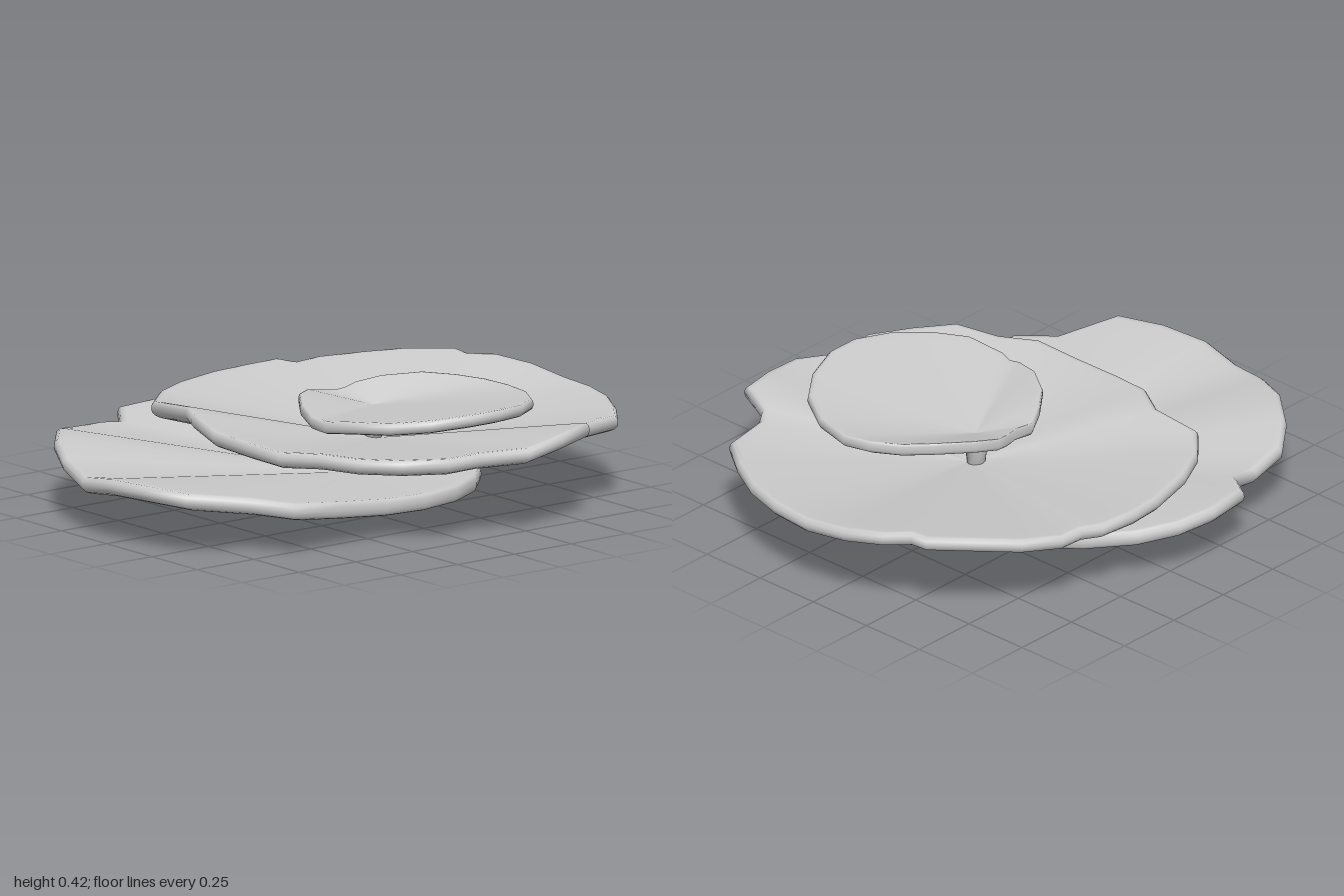
import * as THREE from 'three';

const material = new THREE.MeshStandardMaterial({ color: 0xcccccc, side: THREE.DoubleSide });

// Rim points are [x, z, top height], running back, left, front, right.
const lowerRim = [
  [0.05, -0.43, 0.135], [0.2, -0.43, 0.135], [0.33, -0.39, 0.135], [0.44, -0.28, 0.135],
  [0.52, -0.13, 0.135], [0.55, 0.03, 0.135], [0.55, 0.2, 0.14], [0.55, 0.41, 0.16],
  [0.57, 0.63, 0.19], [0.44, 0.72, 0.2], [0.35, 0.93, 0.23], [0.18, 0.98, 0.235],
  [0, 1, 0.23], [-0.16, 0.98, 0.205], [-0.33, 0.93, 0.235], [-0.48, 0.85, 0.265],
  [-0.62, 0.73, 0.26], [-0.71, 0.61, 0.23], [-0.74, 0.45, 0.22], [-0.72, 0.37, 0.215],
  [-0.83, 0.29, 0.235], [-0.85, 0.12, 0.235], [-0.82, -0.02, 0.225], [-0.74, -0.15, 0.21],
  [-0.6, -0.27, 0.19], [-0.42, -0.36, 0.165], [-0.22, -0.41, 0.145], [-0.08, -0.43, 0.135],
];
const middleRim = [
  [0.04, -1, 0.31], [0.2, -0.985, 0.31], [0.35, -0.94, 0.31], [0.49, -0.86, 0.31],
  [0.61, -0.77, 0.31], [0.64, -0.59, 0.31], [0.68, -0.53, 0.32], [0.79, -0.5, 0.355],
  [0.83, -0.35, 0.34], [0.85, -0.19, 0.32], [0.77, -0.03, 0.31], [0.79, 0.12, 0.315],
  [0.71, 0.26, 0.315], [0.61, 0.38, 0.32], [0.45, 0.42, 0.315], [0.33, 0.5, 0.31],
  [0.15, 0.495, 0.31], [-0.05, 0.49, 0.315], [-0.22, 0.45, 0.34], [-0.34, 0.38, 0.335],
  [-0.53, 0.38, 0.32], [-0.64, 0.26, 0.32], [-0.71, 0.12, 0.32], [-0.76, -0.07, 0.32],
  [-0.77, -0.2, 0.32], [-0.76, -0.35, 0.325], [-0.71, -0.4, 0.315], [-0.71, -0.5, 0.32],
  [-0.64, -0.63, 0.33], [-0.54, -0.75, 0.345], [-0.41, -0.87, 0.35], [-0.34, -0.87, 0.345],
  [-0.27, -0.94, 0.345], [-0.13, -0.99, 0.33],
];
const upperRim = [
  [0.26, -0.57, 0.385], [0.4, -0.54, 0.39], [0.53, -0.46, 0.4], [0.62, -0.34, 0.41],
  [0.67, -0.2, 0.42], [0.67, -0.08, 0.42], [0.62, 0.06, 0.41], [0.53, 0.17, 0.4],
  [0.42, 0.24, 0.395], [0.28, 0.26, 0.375], [0.23, 0.245, 0.37], [0.19, 0.25, 0.375],
  [0.08, 0.21, 0.395], [-0.03, 0.13, 0.4], [-0.1, 0.04, 0.39], [-0.14, -0.04, 0.37],
  [-0.12, -0.1, 0.365], [-0.13, -0.15, 0.365], [-0.14, -0.21, 0.375], [-0.11, -0.3, 0.39],
  [-0.03, -0.42, 0.4], [0.06, -0.5, 0.395], [0.16, -0.55, 0.39],
];

// Lofts rings from the sunken centre, over the rounded rim, back under to a stalk.
function makePlate(name, { rim, centre: [cx, cz], top, under, thickness, stalk }) {
  const position = [], index = [], n = rim.length;
  const addRing = (pointAt) => rim.forEach((p) => position.push(...pointAt(p)));
  const spoke = (t, heightAt) =>
    addRing(([x, z, y]) => [cx + (x - cx) * t, heightAt(y), cz + (z - cz) * t]);

  // Upper surface
  for (const t of [0, 0.2, 0.45, 0.7, 0.9, 0.965]) {
    spoke(t, (y) => top + (y - top) * t);
  }
  // Rounded rim: fraction of reach, fraction of thickness
  for (const [t, d] of [[0.985, 0.06], [0.997, 0.25], [1, 0.5], [0.997, 0.75], [0.985, 0.94]]) {
    spoke(t, (y) => y - thickness * d);
  }
  // Underside
  for (const t of [0.96, 0.8, 0.6, 0.4, 0.27]) {
    spoke(t, (y) => under + (y - thickness - under) * (t - 0.25) / 0.75);
  }
  // Stalk and its closed foot
  for (const [r, y] of stalk) {
    addRing(([x, z]) => {
      const a = Math.atan2(z - cz, x - cx);
      return [cx + r * Math.cos(a), y, cz + r * Math.sin(a)];
    });
  }

  for (let row = 0; row < position.length / 3 / n - 1; row++) {
    for (let i = 0; i < n; i++) {
      const j = (i + 1) % n, a = row * n, b = a + n;
      index.push(a + i, b + j, b + i, a + i, a + j, b + j);
    }
  }
  const geometry = new THREE.BufferGeometry();
  geometry.setAttribute('position', new THREE.Float32BufferAttribute(position, 3));
  geometry.setIndex(index);
  geometry.computeVertexNormals();
  const mesh = new THREE.Mesh(geometry, material);
  mesh.name = name;
  return mesh;
}

export function createModel() {
  const group = new THREE.Group();
  group.name = 'tieredPlates';
  group.add(
    makePlate('lowerPlate', {
      rim: lowerRim, centre: [0.045, -0.05], top: 0.11, under: 0.053, thickness: 0.06,
      stalk: [[0.16, 0.05], [0.085, 0.003], [0.08, 0], [0, 0]],
    }),
    makePlate('middlePlate', {
      rim: middleRim, centre: [0.03, -0.18], top: 0.21, under: 0.155, thickness: 0.055,
      stalk: [[0.09, 0.148], [0.05, 0.1], [0, 0.1]],
    }),
    makePlate('upperPlate', {
      rim: upperRim, centre: [0.01, -0.165], top: 0.325, under: 0.295, thickness: 0.045,
      stalk: [[0.04, 0.28], [0.03, 0.2], [0, 0.2]],
    }),
  );
  return group;
}
